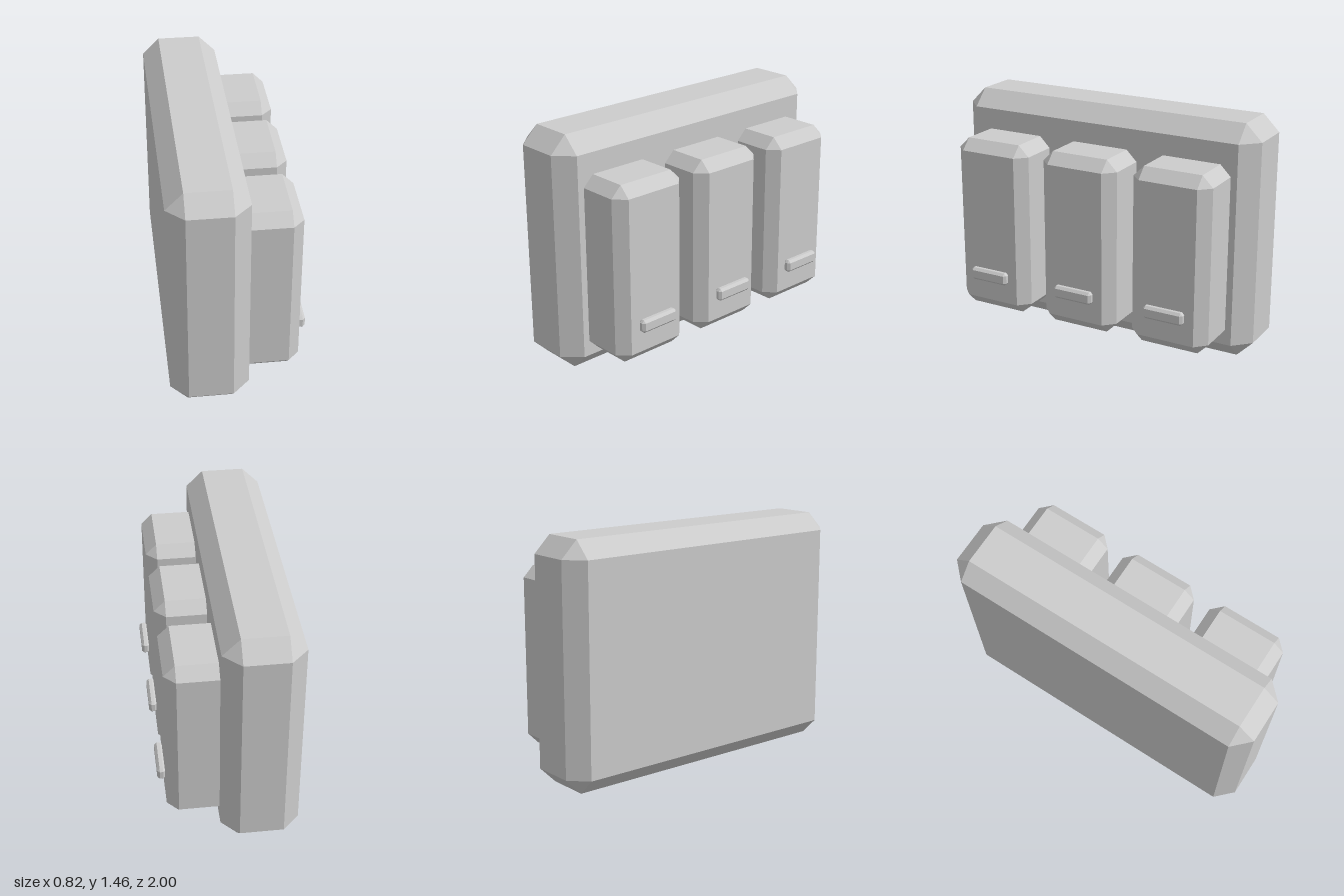
import * as THREE from 'three';
import { ConvexGeometry } from 'three/addons/geometries/ConvexGeometry.js';

const gray = new THREE.MeshStandardMaterial({ color: 0xcccccc });
gray.name = 'light gray';

// Box with flat 45-degree chamfers on every edge, given by its extents
function chamferBox(name, [x0, x1], [y0, y1], [z0, z1], bevel) {
  const half = [(x1 - x0) / 2, (y1 - y0) / 2, (z1 - z0) / 2];
  const points = [];
  for (const sx of [-1, 1]) for (const sy of [-1, 1]) for (const sz of [-1, 1]) {
    // each corner becomes three points, one on each adjoining face
    for (let face = 0; face < 3; face++) {
      const c = half.map((h, i) => (i === face ? h : h - bevel));
      points.push(new THREE.Vector3(sx * c[0], sy * c[1], sz * c[2]));
    }
  }
  const mesh = new THREE.Mesh(new ConvexGeometry(points), gray);
  mesh.position.set((x0 + x1) / 2, (y0 + y1) / 2, (z0 + z1) / 2);
  mesh.name = name;
  return mesh;
}

export function createModel() {
  const model = new THREE.Group();
  model.name = 'cabinet';

  // Large back slab
  model.add(chamferBox('body', [-0.41, 0.055], [0, 1.455], [-1, 1], 0.102));

  // Three raised compartments, each with a small horizontal handle
  for (const z of [-0.608, 0, 0.608]) {
    const unit = new THREE.Group();
    unit.name = 'compartment';
    unit.position.z = z;
    unit.add(chamferBox('door', [-0.14, 0.362], [0.13, 1.223], [-0.25, 0.25], 0.067));
    unit.add(chamferBox('handle', [0.358, 0.408], [0.33, 0.409], [-0.129, 0.129], 0.015));
    model.add(unit);
  }
  return model;
}
